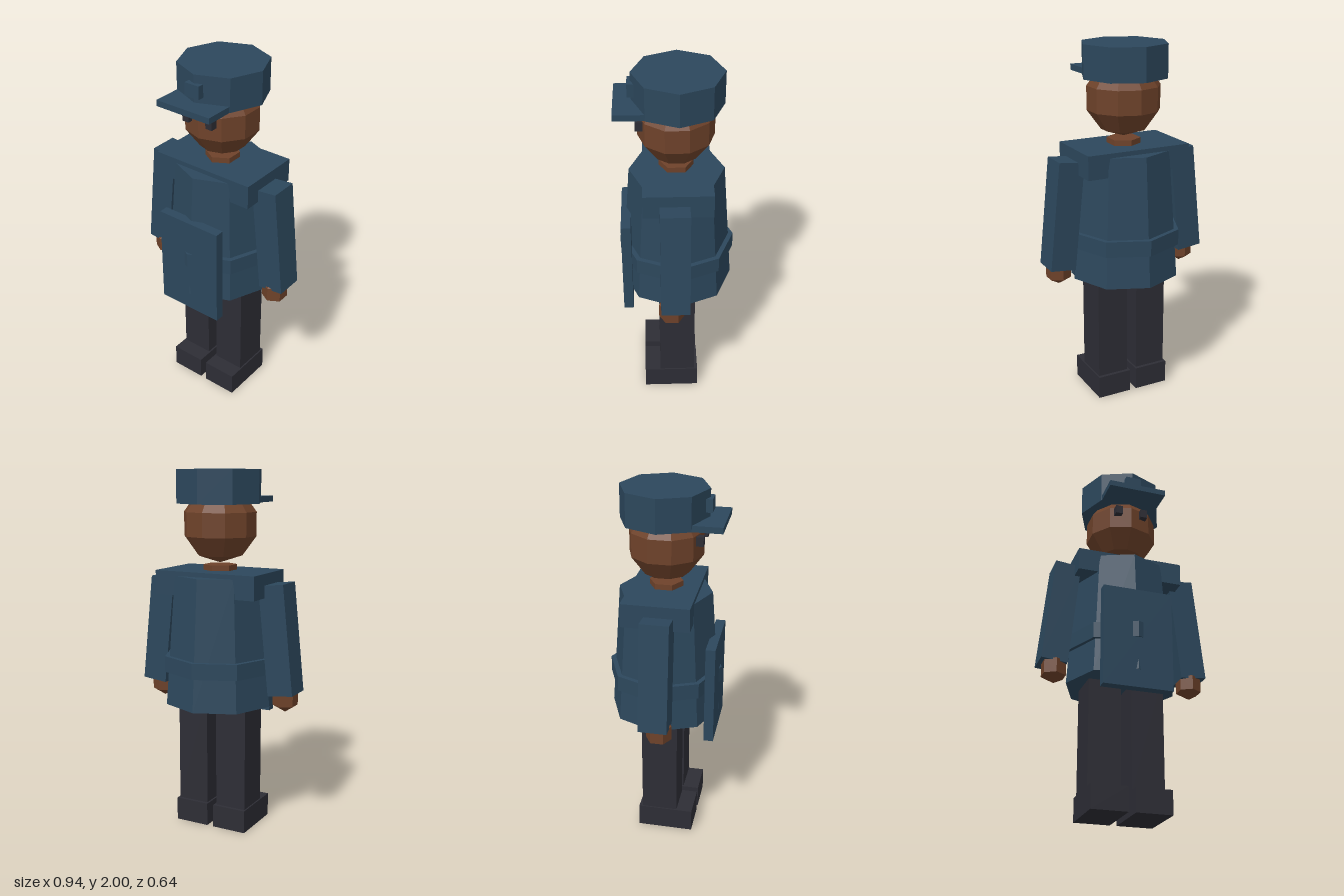
import * as THREE from 'three';

export function createModel() {
  const model = new THREE.Group();
  model.name = 'uniformedFigure';

  const material = (name, color) => {
    const m = new THREE.MeshStandardMaterial({ color, flatShading: true });
    m.name = name;
    return m;
  };
  const cloth = material('navyCloth', 0x2c475c);
  const skin = material('brownSkin', 0x6e422a);
  const dark = material('charcoal', 0x2d2d35);

  const add = (name, geometry, mat, x, y, z) => {
    const mesh = new THREE.Mesh(geometry, mat);
    mesh.name = name;
    mesh.position.set(x, y, z);
    model.add(mesh);
    return mesh;
  };
  // Box given by its width, vertical range and depth range
  const box = (name, mat, x, w, y0, y1, z0, z1) =>
    add(name, new THREE.BoxGeometry(w, y1 - y0, z1 - z0), mat, x, (y0 + y1) / 2, (z0 + z1) / 2);
  // Faceted column with a corner facing the front
  const column = (name, mat, rTop, rBottom, sides, y0, y1, z) =>
    add(name, new THREE.CylinderGeometry(rTop, rBottom, y1 - y0, sides), mat, 0, (y0 + y1) / 2, z);
  // Faceted ball with a corner facing the front
  const ball = (name, mat, r, w, h, x, y, z) =>
    add(name, new THREE.SphereGeometry(r, w, h).rotateY(Math.PI / 2), mat, x, y, z);

  // Coat, belt, shoulders and front panel
  column('coat', cloth, 0.255, 0.308, 8, 0.72, 1.435, -0.003);
  column('belt', cloth, 0.315, 0.315, 8, 0.905, 0.993, -0.003);
  box('shoulders', cloth, 0, 0.6, 1.33, 1.46, -0.186, 0.18);
  box('frontPanel', cloth, 0, 0.384, 0.62, 1.185, 0.247, 0.3);

  // Neck and head
  column('neck', skin, 0.092, 0.092, 6, 1.4, 1.49, 0);
  ball('head', skin, 0.21, 10, 5, 0, 1.71, 0);

  // Cap
  column('cap', cloth, 0.238, 0.238, 8, 1.82, 2, -0.01);
  box('capBrim', cloth, 0, 0.33, 1.82, 1.853, 0.1, 0.318);
  box('capBadge', cloth, 0, 0.088, 1.885, 1.955, 0.17, 0.245);

  // Paired parts
  for (const [side, s] of [['left', 1], ['right', -1]]) {
    box(side + 'Eye', dark, s * 0.074, 0.04, 1.72, 1.77, 0.17, 0.21);
    const arm = box(side + 'Arm', cloth, s * 0.366, 0.145, 0.803, 1.403, -0.062, 0.093);
    arm.rotation.z = s * 0.105;
    ball(side + 'Hand', skin, 0.08, 6, 3, s * 0.387, 0.775, 0.035);
    box(side + 'Leg', dark, s * 0.119, 0.18, 0.12, 0.78, -0.1, 0.1);
    box(side + 'Shoe', dark, s * 0.118, 0.198, 0, 0.13, -0.12, 0.19);
  }
  return model;
}
